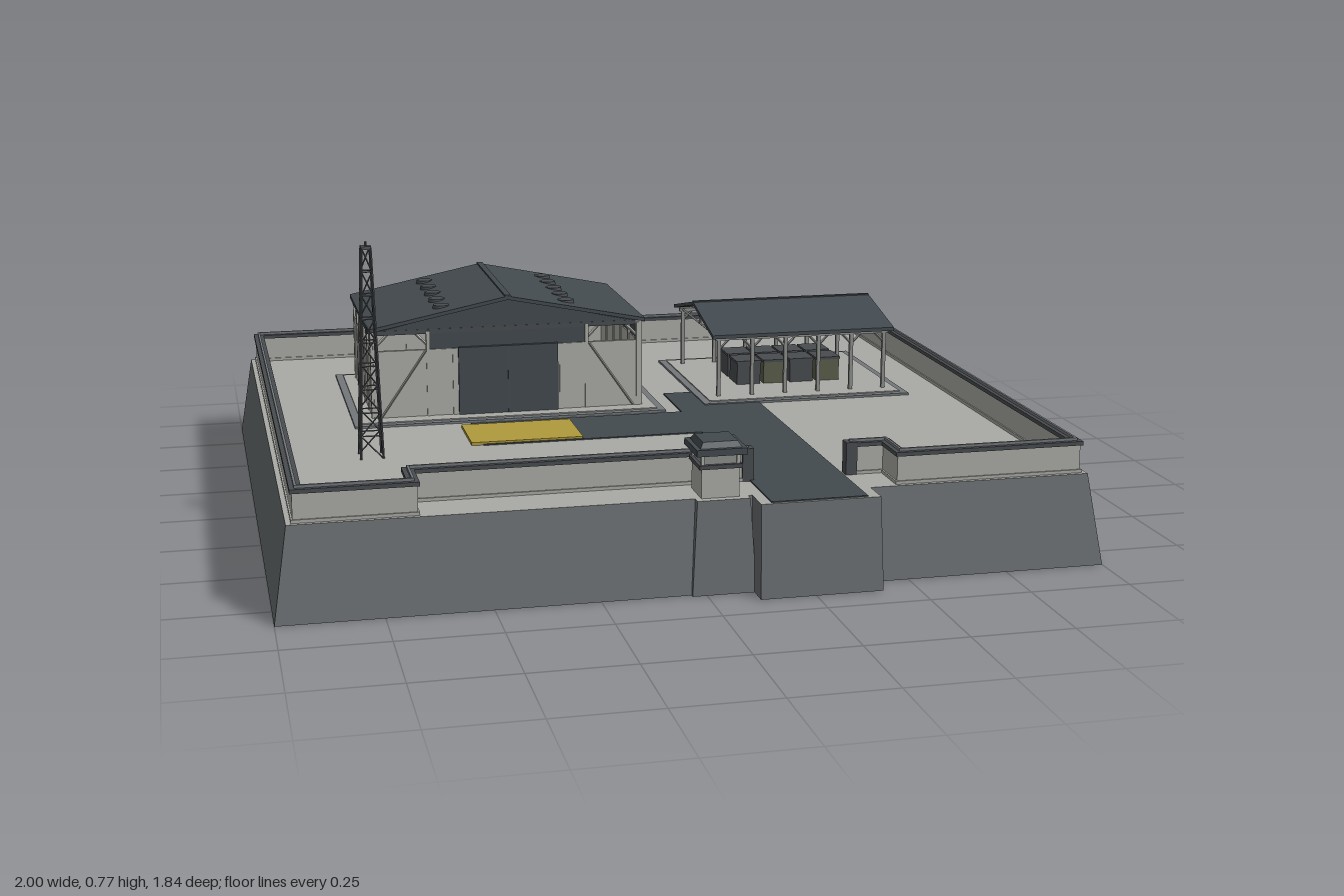
import * as THREE from 'three';

const mat = (name, color) => Object.assign(new THREE.MeshStandardMaterial({ color }), { name });
const M = {
  base: mat('base stone', 0x696d70),
  ground: mat('concrete', 0xa9a9a5),
  wall: mat('pale wall', 0xacaca6),
  roof: mat('slate roof', 0x434a4f),
  coping: mat('dark coping', 0x484c50),
  curb: mat('curb grey', 0x73777a),
  steel: mat('steel', 0x8c8f8c),
  lattice: mat('mast steel', 0x55585a),
  olive: mat('olive', 0x5a5e4a),
  yellow: mat('yellow paint', 0xb09a3c),
};
const G = 0.225; // yard level

function mesh(parent, name, geo, material) {
  const m = new THREE.Mesh(geo, material);
  m.name = name;
  parent.add(m);
  return m;
}

function group(parent, name) {
  const g = new THREE.Group();
  g.name = name;
  parent.add(g);
  return g;
}

// box given by its limits on each axis
function box(parent, name, x0, x1, y0, y1, z0, z1, material) {
  const geo = new THREE.BoxGeometry(x1 - x0, y1 - y0, z1 - z0);
  geo.translate((x0 + x1) / 2, (y0 + y1) / 2, (z0 + z1) / 2);
  return mesh(parent, name, geo, material);
}

// box with a different rectangle [x0, x1, z0, z1] at the bottom and top
function taper(parent, name, b, t, y0, y1, material) {
  const geo = new THREE.BoxGeometry(1, 1, 1);
  const p = geo.attributes.position;
  for (let i = 0; i < p.count; i++) {
    const r = p.getY(i) > 0 ? t : b;
    p.setXYZ(i, p.getX(i) > 0 ? r[1] : r[0], p.getY(i) > 0 ? y1 : y0, p.getZ(i) > 0 ? r[3] : r[2]);
  }
  geo.computeVertexNormals();
  return mesh(parent, name, geo, material);
}

// straight bar between two points
function bar(parent, name, a, b, r, material, sides = 4) {
  const A = new THREE.Vector3(...a), B = new THREE.Vector3(...b), d = B.clone().sub(A);
  const m = mesh(parent, name, new THREE.CylinderGeometry(r, r, d.length(), sides).toNonIndexed(), material);
  m.geometry.computeVertexNormals();
  m.position.copy(A).add(B).multiplyScalar(0.5);
  m.quaternion.setFromUnitVectors(new THREE.Vector3(0, 1, 0), d.normalize());
  return m;
}

// extruded gable profile, half-span w, along z and centred
function gable(parent, name, w, eave, ridge, thick, length, material) {
  const s = new THREE.Shape();
  s.moveTo(-w, eave - thick);
  if (thick < 0.03) s.lineTo(0, ridge - thick);
  s.lineTo(w, eave - thick);
  s.lineTo(w, eave);
  s.lineTo(0, ridge);
  s.lineTo(-w, eave);
  const geo = new THREE.ExtrudeGeometry(s, { depth: length, bevelEnabled: false });
  geo.translate(0, 0, -length / 2);
  return mesh(parent, name, geo, material);
}

// light slab with a curb frame around it
function pad(parent, x0, x1, z0, z1) {
  const g = group(parent, 'pad');
  box(g, 'padCurb', x0, x1, G, G + 0.006, z0, z1, M.curb);
  const e = 0.02;
  box(g, 'padSlab', x0 + e, x1 - e, G, G + 0.009, z0 + e, z1 - e, M.ground);
}

function buildBase(root) {
  const g = group(root, 'base');
  const mats = [M.base, M.base, M.ground, M.base, M.base, M.base];
  taper(g, 'plinth', [-1, 1, -0.92, 0.85], [-0.965, 0.965, -0.88, 0.818], 0, G, mats);
  taper(g, 'gateRamp', [0.115, 0.415, 0.7, 0.915], [0.118, 0.41, 0.7, 0.895], 0, G, mats);
  taper(g, 'postButtress', [-0.035, 0.12, 0.7, 0.86], [-0.02, 0.108, 0.7, 0.84], 0, G, mats);
  // roads and marked bay
  box(g, 'mainRoad', 0.145, 0.38, G, G + 0.003, -0.185, 0.888, M.roof);
  box(g, 'sideRoad', -0.43, 0.145, G, G + 0.003, 0.025, 0.245, M.roof);
  box(g, 'markedBay', -0.46, -0.17, G, G + 0.008, 0.055, 0.24, M.yellow);
}

function buildWalls(root) {
  const g = group(root, 'perimeterWall');
  const run = [[0.14, 0.69], [-0.675, 0.69], [-0.675, 0.795], [-0.94, 0.795], [-0.94, -0.862],
    [0.94, -0.862], [0.94, 0.795], [0.49, 0.795], [0.49, 0.69], [0.4, 0.69]];
  for (let i = 0; i + 1 < run.length; i++) {
    const [a, b] = [run[i], run[i + 1]];
    const x0 = Math.min(a[0], b[0]), x1 = Math.max(a[0], b[0]);
    const z0 = Math.min(a[1], b[1]), z1 = Math.max(a[1], b[1]);
    const slab = (n, t, y0, y1, m) => box(g, n, x0 - t, x1 + t, y0, y1, z0 - t, z1 + t, m);
    slab('wallPanel', 0.009, G, 0.294, M.wall);
    slab('wallFoot', 0.013, G, 0.233, M.ground);
    slab('wallCoping', 0.014, 0.294, 0.304, M.coping);
    slab('wallRail', 0.003, 0.304, 0.311, M.curb);
  }
  for (const x of [0.14, 0.4]) box(g, 'gatePier', x - 0.014, x + 0.014, G, 0.306, 0.675, 0.705, M.coping);
}

function buildHangar(root) {
  pad(root, -0.735, 0.105, -0.6, 0.01);
  const g = group(root, 'hangar');
  g.position.set(-0.315, 0, -0.302);
  const W = 0.36, D = 0.24, top = 0.415;
  // walls
  for (const s of [-1, 1]) {
    box(g, 'sideWall', s * W - 0.006, s * W + 0.006, G, top, -D, D, M.wall);
    box(g, 'sideClerestory', s * W - 0.003, s * W + 0.003, top, 0.455, -D, D, M.roof);
    for (let i = 0; i <= 5; i++) {
      const z = -D + i * D * 0.4;
      box(g, 'sidePilaster', s * W - 0.009, s * W + 0.009, G, 0.468, z - 0.006, z + 0.006, M.wall);
    }
    box(g, 'endWall', -W, W, G, top, s * D - 0.006, s * D + 0.006, M.wall);
    box(g, 'endClerestory', -0.22, 0.22, top, 0.475, s * D - 0.003, s * D + 0.003, M.roof);
    box(g, 'endBeam', -W, W, 0.458, 0.47, s * D - 0.005, s * D + 0.005, M.coping);
    for (const t of [-1, 1]) {
      for (const x of [0.357, 0.215, 0.145])
        box(g, 'endPilaster', t * x - 0.005, t * x + 0.005, G, x > 0.2 ? 0.465 : top, s * D - 0.009, s * D + 0.009, M.wall);
      bar(g, 'endBrace', [t * 0.35, G, s * (D + 0.005)], [t * 0.22, top, s * (D + 0.005)], 0.004, M.steel);
      bar(g, 'kneeBrace', [t * 0.215, 0.425, s * D], [t * 0.25, 0.462, s * D], 0.004, M.wall);
      bar(g, 'kneeBrace', [t * 0.357, 0.425, s * D], [t * 0.32, 0.462, s * D], 0.004, M.wall);
    }
  }
  box(g, 'slidingDoor', -0.135, 0.135, G, 0.418, D, D + 0.014, M.roof);
  box(g, 'doorSeam', -0.002, 0.002, G, 0.415, D + 0.014, D + 0.016, M.coping);
  // roof with a solid gable under it
  gable(g, 'gableFill', W, 0.468, 0.544, 0.004, 2 * D, M.roof);
  for (const s of [-1, 1]) {
    const tri = new THREE.Shape([[-W, 0.466], [W, 0.466], [0, 0.543]].map(p => new THREE.Vector2(...p)));
    const geo = new THREE.ExtrudeGeometry(tri, { depth: 0.008, bevelEnabled: false });
    geo.translate(0, 0, s * D - 0.004);
    mesh(g, 'gableEnd', geo, M.roof);
  }
  gable(g, 'hangarRoof', 0.376, 0.476, 0.552, 0.01, 0.505, M.roof);
  box(g, 'ridgeCap', -0.008, 0.008, 0.545, 0.555, -0.252, 0.252, M.roof);
  // roof vents
  for (const x of [-0.17, 0.17]) for (let i = -2; i <= 2; i++) {
    const v = mesh(g, 'roofVent', new THREE.CylinderGeometry(0.022, 0.024, 0.016, 16), M.coping);
    v.position.set(x, 0.515, i * 0.091);
  }
}

function buildCanopy(root) {
  pad(root, 0.225, 0.815, -0.58, -0.03);
  const g = group(root, 'canopy');
  g.position.set(0.522, 0, -0.305);
  const roof = gable(g, 'canopyRoof', 0.225, 0.41, 0.462, 0.01, 0.525, M.roof);
  roof.rotation.y = Math.PI / 2;
  box(g, 'canopyRidge', -0.262, 0.262, 0.456, 0.464, -0.006, 0.006, M.coping);
  for (const s of [-1, 1]) {
    const z = s * 0.205;
    box(g, 'eaveBeam', -0.25, 0.25, 0.392, 0.402, z - 0.005, z + 0.005, M.steel);
    for (let i = 0; i < 6; i++) {
      const x = -0.24 + i * 0.096;
      box(g, 'canopyPost', x - 0.005, x + 0.005, G, 0.402, z - 0.005, z + 0.005, M.steel);
      for (const t of [-1, 1]) if (Math.abs(x + t * 0.03) < 0.25)
        bar(g, 'postBrace', [x, 0.365, z], [x + t * 0.03, 0.396, z], 0.0035, M.steel);
      if (s > 0) {
        bar(g, 'tieBeam', [x, 0.398, -0.205], [x, 0.398, 0.205], 0.004, M.steel);
        bar(g, 'kingPost', [x, 0.398, 0], [x, 0.45, 0], 0.004, M.steel);
      }
    }
  }
  // stored crates
  for (let i = 0; i < 4; i++) for (const z of [-0.05, 0.05]) {
    const x = -0.12 + i * 0.078;
    box(g, 'crate', x - 0.034, x + 0.034, G + 0.009, 0.295, z - 0.04, z + 0.04, i % 2 ? M.olive : M.coping);
    box(g, 'crateLid', x - 0.036, x + 0.036, 0.295, 0.302, z - 0.042, z + 0.042, M.coping);
  }
}

function buildGuardPost(root) {
  const g = group(root, 'guardPost');
  g.position.set(0.04, 0, 0.775);
  const tier = (n, w, y0, y1, m) => box(g, n, -w, w, y0, y1, -w, w, m);
  tier('postBody', 0.046, G, 0.298, M.wall);
  tier('postSill', 0.052, 0.296, 0.306, M.coping);
  tier('postWindows', 0.043, 0.306, 0.33, M.steel);
  for (const x of [-1, 1]) for (const z of [-1, 1])
    box(g, 'postCorner', x * 0.043 - 0.004, x * 0.043 + 0.004, 0.3, 0.332, z * 0.043 - 0.004, z * 0.043 + 0.004, M.wall);
  tier('postRoof', 0.061, 0.33, 0.346, M.roof);
  taper(g, 'postRoofCap', [-0.05, 0.05, -0.05, 0.05], [-0.042, 0.042, -0.042, 0.042], 0.346, 0.36, M.roof);
}

function buildMast(root) {
  const g = group(root, 'latticeMast');
  g.position.set(-0.72, G, 0.283);
  const H = 0.53, n = 9, corners = [[1, 1], [-1, 1], [-1, -1], [1, -1]];
  const at = (c, k) => {
    const w = 0.028 - 0.017 * k / n;
    return [corners[c % 4][0] * w, H * k / n, corners[c % 4][1] * w];
  };
  for (let c = 0; c < 4; c++) {
    bar(g, 'mastLeg', at(c, 0), at(c, n), 0.003, M.lattice);
    for (let k = 0; k < n; k++) {
      bar(g, 'mastRing', at(c, k + 1), at(c + 1, k + 1), 0.0018, M.lattice);
      bar(g, 'mastBrace', at(c + k % 2, k), at(c + 1 - k % 2, k + 1), 0.0018, M.lattice);
    }
  }
  box(g, 'mastHead', -0.013, 0.013, H - 0.004, H + 0.004, -0.013, 0.013, M.lattice);
  bar(g, 'mastTip', [0, H, 0], [0, H + 0.015, 0], 0.003, M.lattice);
}

function buildGenerator(root) {
  const g = group(root, 'generator');
  box(g, 'generatorBody', -0.64, -0.445, G, 0.312, -0.7, -0.625, M.olive);
  box(g, 'generatorLid', -0.645, -0.44, 0.312, 0.322, -0.705, -0.62, M.olive);
  for (const x of [-0.61, -0.562]) {
    const pts = [[0.016, 0.32], [0.016, 0.338], [0.011, 0.345], [0.011, 0.395], [0.007, 0.4], [0.007, 0.425],
      [0.01, 0.428], [0.01, 0.448], [0, 0.45]].map(p => new THREE.Vector2(...p));
    mesh(g, 'exhaustStack', new THREE.LatheGeometry(pts, 10), M.lattice).position.set(x, 0, -0.66);
  }
}

export function createModel() {
  const root = new THREE.Group();
  root.name = 'walledDepot';
  for (const build of [buildBase, buildWalls, buildHangar, buildCanopy, buildGuardPost, buildMast, buildGenerator]) build(root);
  return root;
}
